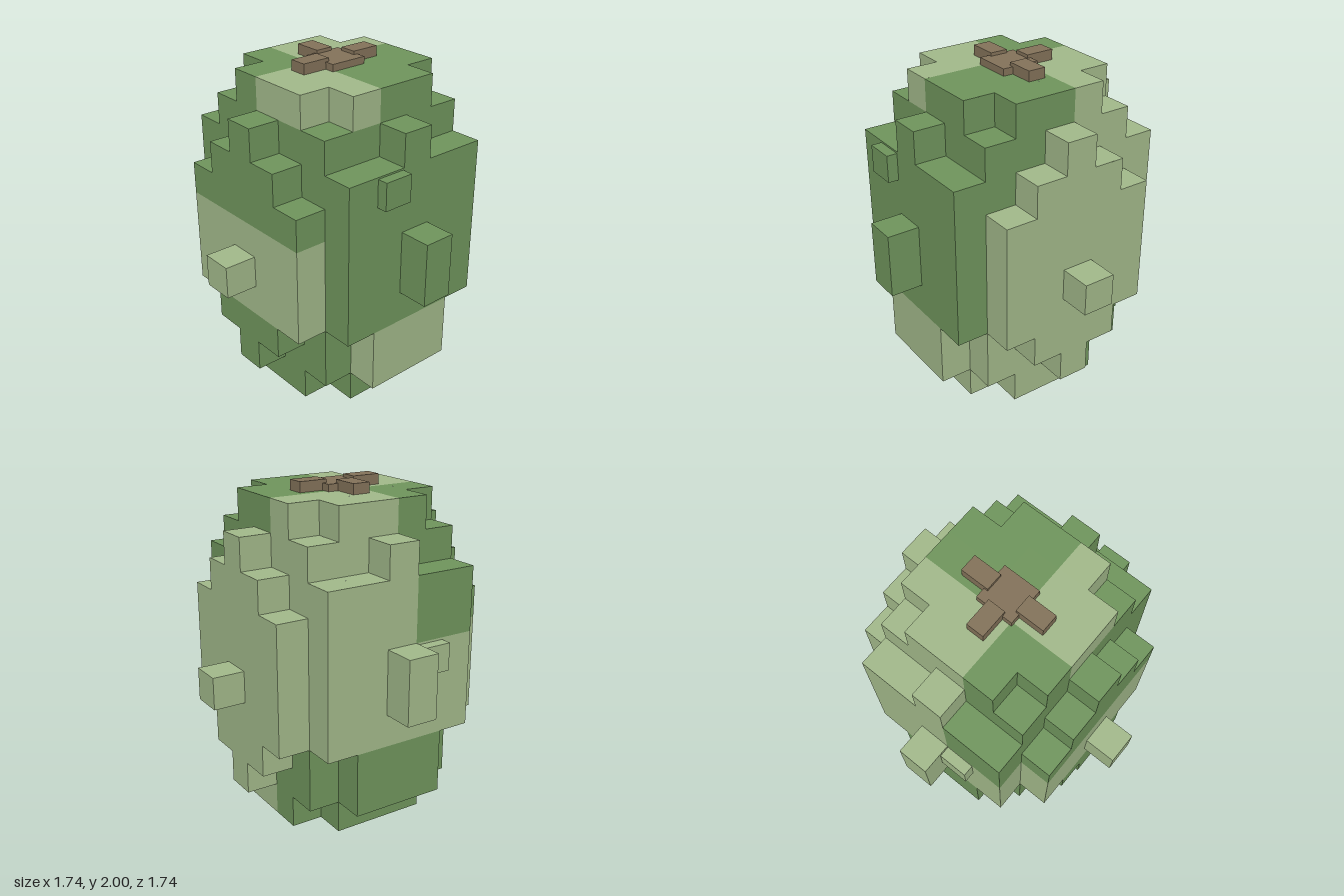
import * as THREE from 'three';
import { mergeGeometries } from 'three/addons/utils/BufferGeometryUtils.js';

const U = 0.1938; // edge of one block
const light = new THREE.MeshStandardMaterial({ color: 0xa3ba8b });
light.name = 'light green';
const dark = new THREE.MeshStandardMaterial({ color: 0x70965d });
dark.name = 'dark green';
const brown = new THREE.MeshStandardMaterial({ color: 0x84735a });
brown.name = 'stem brown';

// Lowest and highest layer of the side panels, by distance from their middle
const FACE = [[1, 8], [2, 7], [3, 6]]; // front and back
const FLANK = [[1, 8], [1, 7], [3, 7]]; // left and right

// Whether the block in column x, z and layer y belongs to the body
function filled(x, y, z) {
  const ax = Math.abs(x), az = Math.abs(z);
  if (ax > 3 || az > 3 || y < 0 || y > 9 || (ax === 3 && az === 3)) return false;
  const range = az === 3 ? FACE[ax] : ax === 3 ? FLANK[az] : null;
  if (range) return y >= range[0] && y <= range[1];
  return (y > 0 && y < 9) || ax + az < 4; // end caps lose their corners
}

function partOf(x, z) {
  if (z === 3) return 'frontPanel';
  if (z === -3) return 'backPanel';
  if (x === 3) return 'leftPanel';
  if (x === -3) return 'rightPanel';
  return 'core';
}

// Patchwork of the two greens
function isLight(x, y, z) {
  const belt = y >= 3 && y <= 5;
  const backRight = x < 0 && z <= 0;
  switch (partOf(x, z)) {
    case 'frontPanel': return belt;
    case 'backPanel': return true;
    case 'leftPanel': return y < 3;
    case 'rightPanel': return belt || (y > 5 && z <= 0);
  }
  if (y === 9) return backRight || (x >= 0 && z > 0);
  if (y > 2) return backRight;
  return x >= 0 && z <= (y === 0 ? 0 : 1);
}

const SIDES = [[1, 0, 0], [-1, 0, 0], [0, 1, 0], [0, -1, 0], [0, 0, 1], [0, 0, -1]];

// One outward square on the given side of a block
function square(x, y, z, [dx, dy, dz]) {
  const g = new THREE.PlaneGeometry(U, U);
  g.lookAt(new THREE.Vector3(dx, dy, dz));
  return g.translate((x + dx / 2) * U, (y + 0.5 + dy / 2) * U, (z + dz / 2) * U);
}

// Box given by its lower and upper corners
function box(name, material, [x0, y0, z0], [x1, y1, z1]) {
  const mesh = new THREE.Mesh(new THREE.BoxGeometry(x1 - x0, y1 - y0, z1 - z0), material);
  mesh.position.set((x0 + x1) / 2, (y0 + y1) / 2, (z0 + z1) / 2);
  mesh.name = name;
  return mesh;
}

export function createModel() {
  const model = new THREE.Group();
  model.name = 'blockFruit';

  // Body: exposed block faces, gathered by part and colour
  const parts = new Map();
  for (let x = -3; x <= 3; x++) for (let y = 0; y <= 9; y++) for (let z = -3; z <= 3; z++) {
    if (!filled(x, y, z)) continue;
    const pale = isLight(x, y, z);
    const key = partOf(x, z) + (pale ? 'Light' : 'Dark');
    for (const d of SIDES) {
      if (filled(x + d[0], y + d[1], z + d[2])) continue;
      if (!parts.has(key)) parts.set(key, { material: pale ? light : dark, faces: [] });
      parts.get(key).faces.push(square(x, y, z, d));
    }
  }
  for (const [name, { material, faces }] of parts) {
    const mesh = new THREE.Mesh(mergeGeometries(faces), material);
    mesh.name = name;
    model.add(mesh);
  }

  // Knobs on the four sides
  const h = U / 2, a = 3.5 * U, b = 4.5 * U;
  model.add(
    box('frontKnob', light, [-h, 4 * U, a], [h, 5 * U, b]),
    box('backKnob', light, [-h, 4 * U, -b], [h, 5 * U, -a]),
    box('leftKnob', dark, [a, 4 * U, -h], [b, 6 * U, h]),
    box('rightKnob', light, [-b, 4 * U, -h], [-a, 6 * U, h]),
    box('leftWart', dark, [a, 1.375, 0.105], [0.742, 1.54, 0.285]),
    box('rightWart', light, [-0.745, 0.985, 0.1], [-a, 1.15, 0.28]),
  );

  // Stem: flat hub with three arms
  const top = 10 * U;
  const stem = new THREE.Group();
  stem.name = 'stem';
  stem.add(
    box('stemHub', brown, [-0.117, top, -0.12], [0.113, 1.98, 0.112]),
    box('stemBackArm', brown, [-0.056, top, -0.27], [0.052, 2, -0.095]),
    box('stemFrontArm', brown, [-0.056, top, 0.09], [0.052, 2, 0.267]),
    box('stemRightArm', brown, [-0.27, top, -0.056], [-0.095, 2, 0.052]),
  );
  model.add(stem);
  return model;
}
